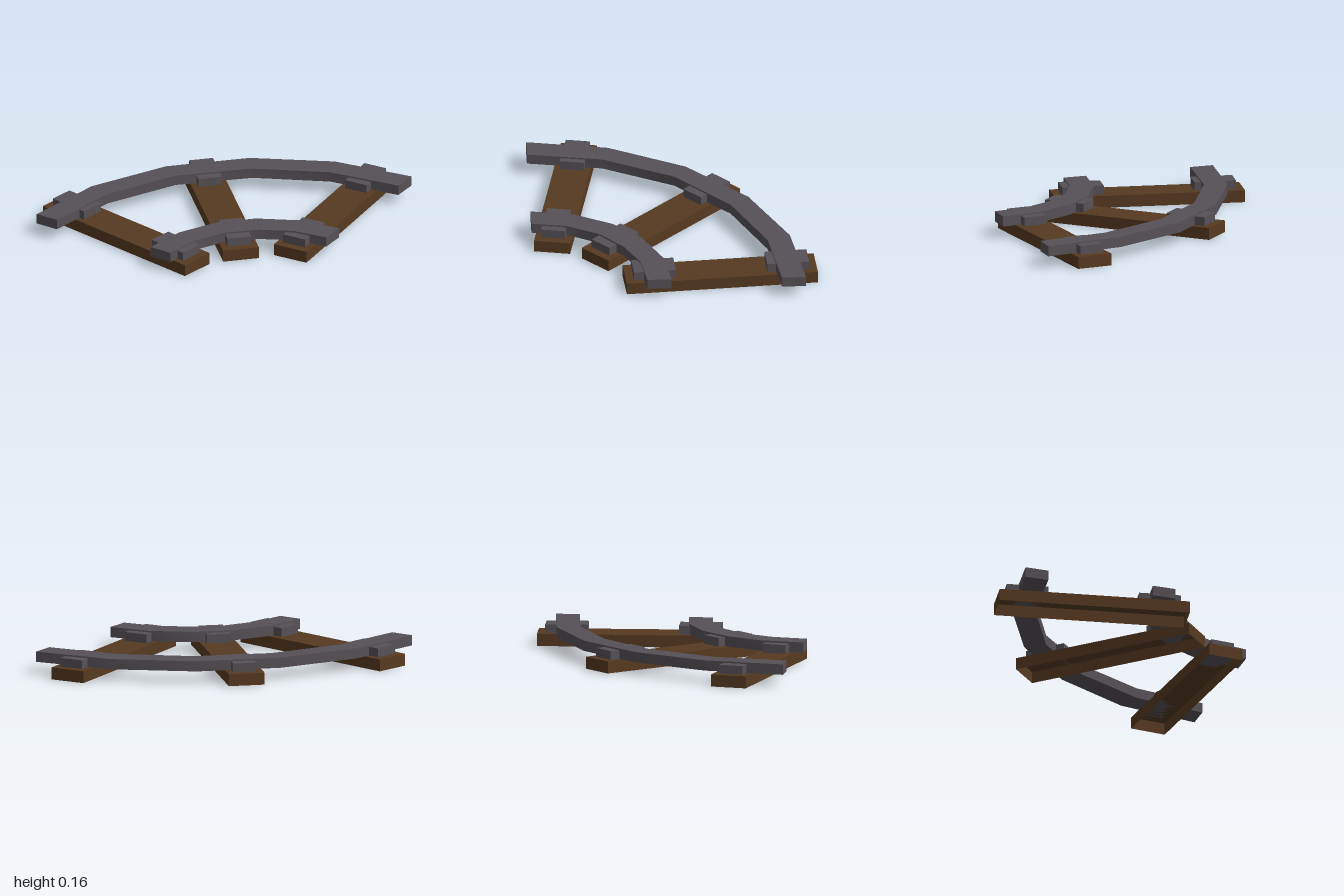
import * as THREE from 'three';
import { toCreasedNormals } from 'three/addons/utils/BufferGeometryUtils.js';

const DECK = 0.085; // top of the sleepers, underside of the rails

export function createModel() {
  const wood = new THREE.MeshStandardMaterial({ color: 0x573a21, side: THREE.DoubleSide });
  wood.name = 'brown wood';
  const steel = new THREE.MeshStandardMaterial({ color: 0x565156 });
  steel.name = 'dark steel';

  const model = new THREE.Group();
  model.name = 'curvedTrack';

  const add = (parent, name, geometry, material, x = 0, y = 0, z = 0) => {
    const mesh = new THREE.Mesh(geometry, material);
    mesh.name = name;
    mesh.position.set(x, y, z);
    parent.add(mesh);
    return mesh;
  };

  // Sleeper: a box open underneath
  const sleeperGeo = new THREE.BoxGeometry(1.343, DECK, 0.255);
  const faces = Array.from(sleeperGeo.index.array);
  faces.splice(18, 6);
  sleeperGeo.setIndex(faces);
  sleeperGeo.clearGroups();

  const plateGeo = new THREE.BoxGeometry(0.295, 0.062, 0.17);

  // Sleepers fan out around the curve, each with two rail plates
  const sleepers = [
    [0.742, -0.313, 85],
    [0.044, 0.078, 45],
    [-0.317, 0.731, 10],
  ];
  for (const [x, z, degrees] of sleepers) {
    const group = new THREE.Group();
    group.name = 'sleeperWithPlates';
    group.position.set(x, 0, z);
    group.rotation.y = -THREE.MathUtils.degToRad(degrees);
    add(group, 'sleeper', sleeperGeo, wood, 0, DECK / 2, 0);
    for (const side of [-1, 1]) {
      add(group, 'railPlate', plateGeo, steel, side * 0.468, DECK + 0.031, 0);
    }
    model.add(group);
  }

  // Rails: outline in plan (x, z), outer edge then inner edge, raised to height
  const addRail = (name, outer, inner) => {
    const outline = [...outer, ...inner.reverse()];
    const shape = new THREE.Shape(outline.map(([x, z]) => new THREE.Vector2(x, -z)));
    const geometry = new THREE.ExtrudeGeometry(shape, { depth: 0.073, bevelEnabled: false });
    geometry.rotateX(-Math.PI / 2);
    add(model, name, toCreasedNormals(geometry, Math.PI / 6), steel, 0, DECK, 0);
  };

  addRail('outerRail',
    [[-0.895, 0.987], [-0.8, 0.42], [-0.527, -0.115], [-0.104, -0.537], [0.428, -0.81], [1, -0.904]],
    [[-0.727, 0.987], [-0.643, 0.465], [-0.393, -0.03], [0, -0.41], [0.49, -0.653], [1, -0.735]]);
  addRail('innerRail',
    [[0.045, 0.987], [0.094, 0.69], [0.233, 0.42], [0.432, 0.222], [0.703, 0.083], [1, 0.035]],
    [[0.211, 0.987], [0.254, 0.737], [0.366, 0.521], [0.543, 0.355], [0.757, 0.243], [1, 0.204]]);

  return model;
}
